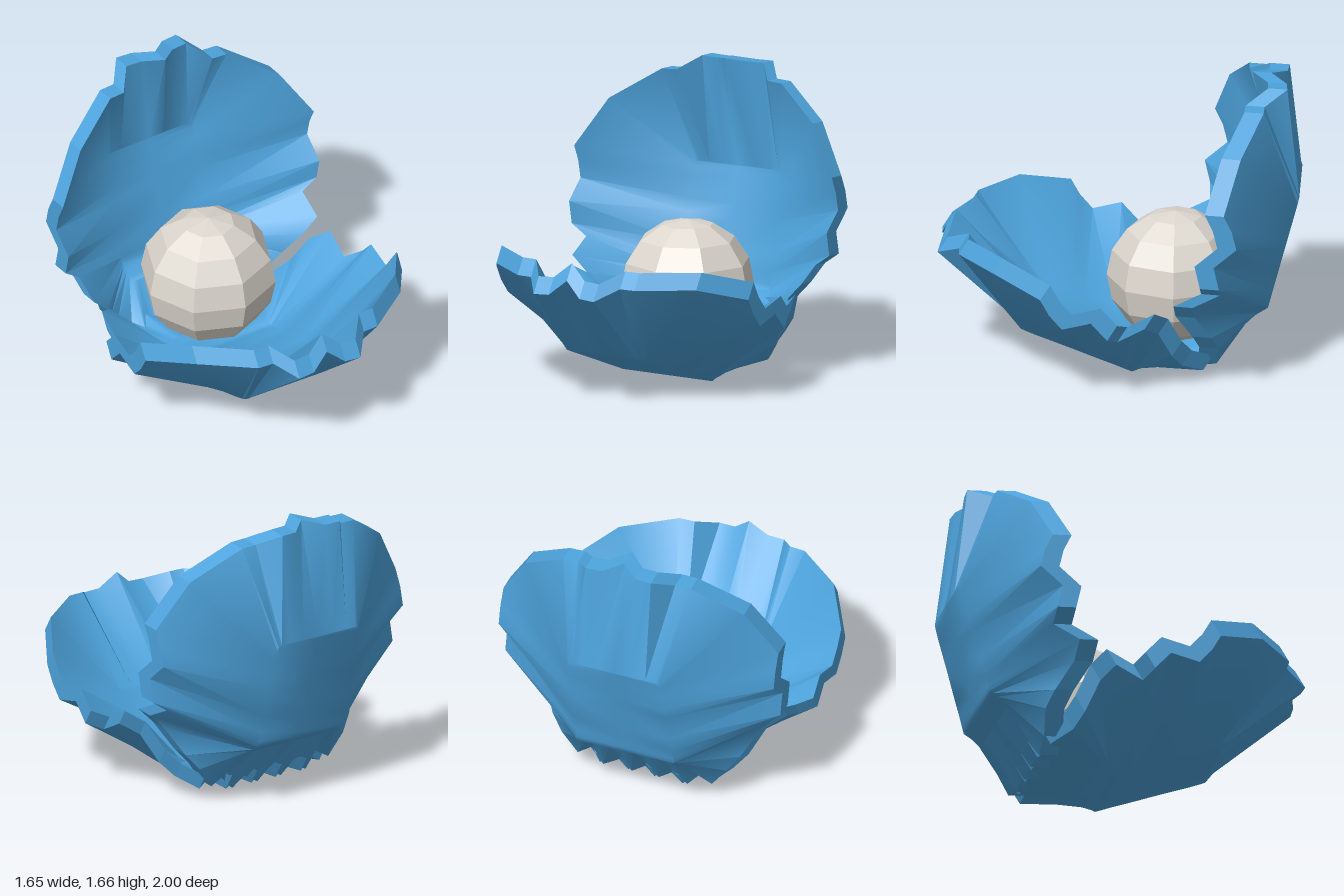
import * as THREE from 'three';
import { toCreasedNormals } from 'three/addons/utils/BufferGeometryUtils.js';

// Half of the fluted rim (outer edge), from the front tip round to the hinge: x, y, z
const HALF_RIM = [
  [0, 0.73, 0.955], [0.1, 0.645, 0.985], [0.195, 0.64, 0.99], [0.29, 0.7, 0.865], [0.38, 0.7, 0.86],
  [0.65, 0.695, 0.65], [0.82, 0.61, 0.38], [0.82, 0.52, 0.33], [0.82, 0.44, 0.26], [0.82, 0.48, 0.1],
  [0.82, 0.38, 0.01], [0.73, 0.34, -0.04], [0.73, 0.42, -0.19], [0.64, 0.36, -0.26], [0.56, 0.2, -0.33],
  [0.49, 0.12, -0.38], [0.4, 0.06, -0.49], [0.33, 0.1, -0.47], [0.25, 0.04, -0.53], [0.16, 0.08, -0.5],
  [0.08, 0.04, -0.53], [0, 0.08, -0.5],
];
// Matching points on the edge of the flat middle panel: x, z
const HALF_FLOOR = [
  [0, 0.53], [0.1, 0.53], [0.19, 0.53], [0.25, 0.53], [0.27, 0.525], [0.275, 0.5], [0.28, 0.44],
  [0.28, 0.33], [0.28, 0.26], [0.285, 0.1], [0.285, 0], [0.29, -0.06], [0.29, -0.09], [0.29, -0.11],
  [0.29, -0.14], [0.29, -0.17], [0.28, -0.2], [0.25, -0.205], [0.2, -0.205], [0.14, -0.205],
  [0.07, -0.205], [0, -0.205],
];
const THICKNESS = [0, 0.09, -0.055];

const floorY = (z) => (z > -0.09 ? 0.371 * (z + 0.09) : 0.4 * (-0.09 - z));

// Close a half ring by mirroring it across x
function mirrorRing(half) {
  const back = half.slice(1, -1).reverse().map(([x, y, z]) => [-x, y, z]);
  return [...half, ...back];
}

// Skin a list of closed rings with triangles
function loft(rings, flip = false) {
  const n = rings[0].length;
  const index = [];
  for (let r = 0; r < rings.length - 1; r++) {
    for (let i = 0; i < n; i++) {
      const a = r * n + i;
      const b = r * n + ((i + 1) % n);
      const c = a + n;
      const d = b + n;
      if (flip) index.push(a, b, c, c, b, d);
      else index.push(a, c, b, c, d, b);
    }
  }
  const geometry = new THREE.BufferGeometry();
  geometry.setAttribute('position', new THREE.Float32BufferAttribute(rings.flat(2), 3));
  geometry.setIndex(index);
  return geometry;
}

function flatten(geometry) {
  const flat = geometry.toNonIndexed();
  flat.computeVertexNormals();
  return flat;
}

function makeMesh(name, geometry, material) {
  const mesh = new THREE.Mesh(geometry, material);
  mesh.name = name;
  return mesh;
}

// One half shell: outer skin, inner skin and the band between them
function makeShell(name, material) {
  const rim = mirrorRing(HALF_RIM);
  const floor = mirrorRing(HALF_FLOOR.map(([x, z]) => [x, floorY(z), z]));
  const spine = floor.map(([, y, z]) => [0, y, z]);
  const outer = [rim, floor, spine];
  const inner = outer.map((ring) => ring.map((p) => p.map((v, k) => v + THICKNESS[k])));

  const shell = new THREE.Group();
  shell.name = name;
  shell.add(
    makeMesh('outerSkin', toCreasedNormals(loft(outer), 0.9), material),
    makeMesh('innerSkin', toCreasedNormals(loft(inner, true), 0.9), material),
    makeMesh('rimBand', flatten(loft([rim, inner[0]], true)), material),
  );
  return shell;
}

export function createModel() {
  const shellBlue = new THREE.MeshStandardMaterial({ color: 0x4da3dc });
  shellBlue.name = 'shellBlue';
  const pearlWhite = new THREE.MeshStandardMaterial({ color: 0xdcd6ce });
  pearlWhite.name = 'pearlWhite';

  const model = new THREE.Group();
  model.name = 'clam';

  // Lower shell, turned very slightly
  const lowerShell = makeShell('lowerShell', shellBlue);
  lowerShell.rotation.y = -0.036;
  model.add(lowerShell);

  // Upper shell: the same shell turned half round about the tilted opening axis
  const tilt = THREE.MathUtils.degToRad(62.7);
  const pivot = new THREE.Vector3(0, 0.625, -0.235);
  const upperShell = makeShell('upperShell', shellBlue);
  upperShell.quaternion.setFromAxisAngle(new THREE.Vector3(0, Math.sin(tilt), Math.cos(tilt)), Math.PI);
  upperShell.position.copy(pivot).sub(pivot.clone().applyQuaternion(upperShell.quaternion));
  upperShell.position.x = -0.01;
  model.add(upperShell);

  // Faceted pearl
  const pearl = makeMesh('pearl', flatten(new THREE.SphereGeometry(0.38, 8, 8)), pearlWhite);
  pearl.position.set(0, 0.46, -0.31);
  model.add(pearl);

  return model;
}
